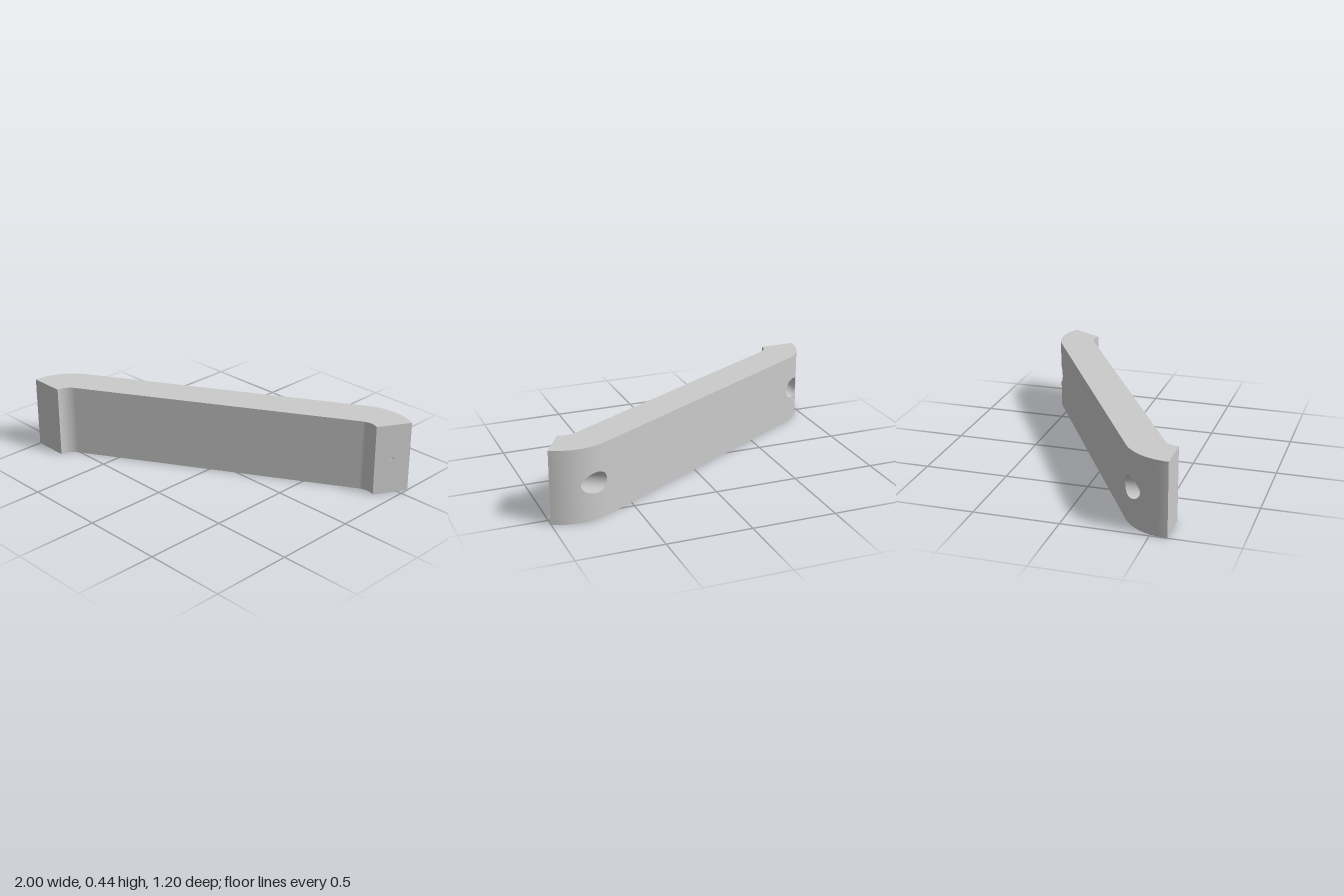
import * as THREE from 'three';
import { mergeVertices } from 'three/addons/utils/BufferGeometryUtils.js';

const H = 0.437;                  // bar height
const HALF = 0.88;                // half distance between bend centres
const R = 0.318, r = 0.103;       // outer and inner bend radius
const BEND = Math.PI / 3;         // each end bends by 60 degrees
const MID = (R + r) / 2;          // screw hole axis, measured from the bend centre
const BORE = 0.062, TIP = 0.015;  // hole radius and its tiny breakthrough
const PATCH = R * 1.4;            // length of outer wall that carries the hole

const material = new THREE.MeshStandardMaterial({ color: 0xcccccc });

// Reverses the winding of an indexed geometry
function flip(geo) {
  const a = geo.index.array;
  for (let i = 0; i < a.length; i += 3) [a[i], a[i + 1]] = [a[i + 1], a[i]];
  return geo;
}

// Surface from a rule f(u, v) -> [x, y, z], u and v in 0..1
function grid(nu, nv, f) {
  const pos = [], idx = [];
  for (let i = 0; i <= nu; i++)
    for (let j = 0; j <= nv; j++) pos.push(...f(i / nu, j / nv));
  for (let i = 0; i < nu; i++)
    for (let j = 0; j < nv; j++) {
      const a = i * (nv + 1) + j, b = a + nv + 1;
      idx.push(a, b, b + 1, a, b + 1, a + 1);
    }
  const geo = new THREE.BufferGeometry();
  geo.setAttribute('position', new THREE.Float32BufferAttribute(pos, 3));
  geo.setIndex(idx);
  return mergeVertices(geo, 1e-5);
}

// Point on a bend: phi = 0 at the straight part, BEND at the end face
const bend = (rad, phi) => [HALF + rad * Math.sin(phi), -rad * Math.cos(phi)];

// Point on the outer wall at length s from the end face
function outer(s, y) {
  const phi = BEND - s / R;
  const [x, z] = phi >= 0 ? bend(R, phi) : [HALF - (s - R * BEND), -R];
  return [x, y, z];
}

// Point at distance p from the bend centre and depth w behind the end face
function behindFace(p, y, w) {
  const c = Math.cos(BEND), s = Math.sin(BEND);
  return [HALF + p * s - w * c, y, -p * c - w * s];
}

// Length s where the line at distance p meets the outer wall
function lengthAt(p) {
  const edge = R * Math.cos(BEND);
  return p >= edge ? R * Math.acos(p / R) : R * BEND + (edge - p) / Math.sin(BEND);
}

const holeP = (t, a) => MID - a * Math.cos(t);
const holeY = (t, a) => H / 2 + a * Math.sin(t);
const square = (c) => THREE.MathUtils.clamp((4 / Math.PI) * Math.asin(c), -1, 1);

// Walls of the +x half
function halfWalls(breaksThrough) {
  const TAU = Math.PI * 2;
  const rim = (t) => [lengthAt(holeP(t, BORE)), holeY(t, BORE)];

  // Outer bend, blended from the round hole to its rectangular border
  const outerBend = grid(10, 64, (u, v) => {
    const t = v * TAU, [s, y] = rim(t);
    const bs = PATCH / 2 * (1 + square(Math.cos(t)));
    const by = H / 2 * (1 + square(Math.sin(t)));
    return outer(s + (bs - s) * u, y + (by - y) * u);
  });

  const outerStraight = grid(1, 1, (u, v) => {
    const [x, , z] = outer(PATCH, 0);
    return [x * (1 - u), v * H, z];
  });

  // Straight inner wall followed by the small inner bend
  const innerWall = grid(17, 1, (u, v) => {
    const i = Math.round(u * 17);
    const [x, z] = i ? bend(r, (i - 1) / 16 * BEND) : [0, -r];
    return [x, v * H, z];
  });

  // Drilled hole with a pointed bottom
  const tipDepth = breaksThrough ? 0 : 0.003, tipR = breaksThrough ? TIP : 0;
  const shoulder = 0.035;
  const bore = grid(64, 1, (u, v) => {
    const t = u * TAU;
    return v ? behindFace(holeP(t, BORE), holeY(t, BORE), shoulder) : outer(...rim(t));
  });
  const point = grid(64, 1, (u, v) => {
    const t = u * TAU, a = v ? tipR : BORE;
    return behindFace(holeP(t, a), holeY(t, a), v ? tipDepth : shoulder);
  });

  // Flat end face
  const shape = new THREE.Shape([[r, 0], [R, 0], [R, H], [r, H]].map((p) => new THREE.Vector2(...p)));
  if (breaksThrough) shape.holes.push(new THREE.Path().absarc(MID, H / 2, TIP, 0, TAU, true));
  const endFace = new THREE.ShapeGeometry(shape, 32);
  const pos = endFace.attributes.position;
  for (let i = 0; i < pos.count; i++) pos.setXYZ(i, ...behindFace(pos.getX(i), pos.getY(i), 0));

  return { outerBend, outerStraight, innerWall, screwHole: bore, screwHolePoint: point, endFace };
}

// Flat plan of the whole bar, used for top and bottom
function plan() {
  const half = [];
  for (let i = 0; i <= 16; i++) half.push(bend(r, i / 16 * BEND));
  for (let i = 24; i >= 0; i--) half.push(bend(R, i / 24 * BEND));
  const all = [...half, ...half.map(([x, z]) => [-x, z]).reverse()];
  const shape = new THREE.Shape(all.map(([x, z]) => new THREE.Vector2(x, -z)));
  return new THREE.ShapeGeometry(shape).rotateX(-Math.PI / 2);
}

export function createModel() {
  const handle = new THREE.Group();
  handle.name = 'barHandle';
  const add = (name, geo, parent) => {
    geo.computeVertexNormals();
    const mesh = new THREE.Mesh(geo, material);
    mesh.name = name;
    parent.add(mesh);
  };

  for (const side of [1, -1]) {
    const half = new THREE.Group();
    half.name = side > 0 ? 'leftHalf' : 'rightHalf';
    for (const [name, geo] of Object.entries(halfWalls(side > 0))) {
      if (side < 0) flip(geo.scale(-1, 1, 1));
      add(name, geo, half);
    }
    handle.add(half);
  }
  add('topFace', plan().translate(0, H, 0), handle);
  add('bottomFace', flip(plan()), handle);

  // The bar lies diagonally
  handle.rotation.y = Math.PI / 6;
  handle.position.set(0.08, 0, 0.159);
  const model = new THREE.Group();
  model.name = 'handleModel';
  model.add(handle);
  return model;
}
